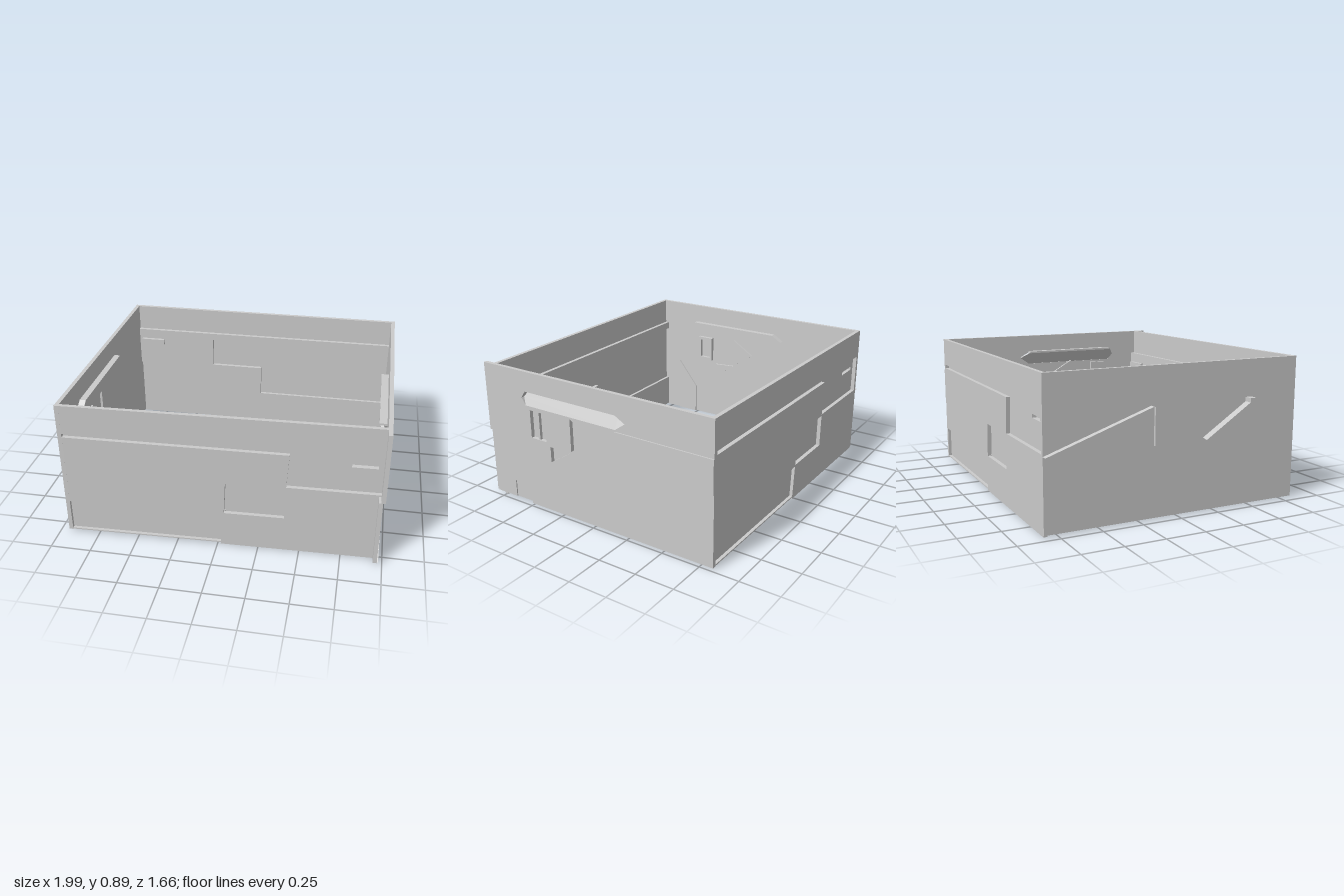
import * as THREE from 'three';

const material = new THREE.MeshStandardMaterial({ color: 0xcccccc, flatShading: true, side: THREE.DoubleSide });
const T = 0.025; // sheet thickness

const rect = (x0, y0, x1, y1) => [[x0, y0], [x1, y0], [x1, y1], [x0, y1]];
const vectors = (pts) => pts.map(([x, y]) => new THREE.Vector2(x, y));

// Flat plate in the x/y plane whose outer face lies at z = front
function plate(group, name, pts, front = 0, depth = T, holes = []) {
  const shape = new THREE.Shape(vectors(pts));
  shape.holes = holes.map((h) => new THREE.Path(vectors(h)));
  const geo = new THREE.ExtrudeGeometry(shape, { depth, bevelEnabled: false });
  geo.translate(0, 0, front - depth);
  const mesh = new THREE.Mesh(geo, material);
  mesh.name = name;
  group.add(mesh);
  return mesh;
}

// Lean a plate inwards with height
function lean(mesh, yStart, slope) {
  const p = mesh.geometry.attributes.position;
  for (let i = 0; i < p.count; i++) p.setZ(i, p.getZ(i) - (p.getY(i) - yStart) * slope);
  mesh.geometry.computeVertexNormals();
}

// Long wall with two raised panels and a recessed stair between them
function steppedWall(name, half) {
  const g = new THREE.Group();
  g.name = name;
  plate(g, 'topBand', rect(-half, 0.71, half, 0.895));
  plate(g, 'recessedRail', rect(-half, 0.67, half, 0.72), -T);
  plate(g, 'upperPanel', [
    [-half, 0.23], [0.02, 0.23], [0.03, 0.45], [0.39, 0.45], [0.405, 0.68], [-half, 0.685],
  ]);
  plate(g, 'lowerPanel', [
    [0, 0.008], [half, 0.005], [half, 0.46], [0.39, 0.46], [0.385, 0.24], [0.02, 0.24],
  ]);
  // recessed steps
  plate(g, 'lowStep', rect(-half, 0.02, 0.03, 0.25), -0.02);
  plate(g, 'bottomLip', rect(-half, 0.018, 0.01, 0.026), 0, T);
  plate(g, 'middleStep', rect(0, 0.225, 0.41, 0.465), -T);
  const slot = rect(0.76, 0.62, 0.91, 0.642);
  plate(g, 'highStep', rect(0.37, 0.445, half, 0.68), -T, T, [slot]);
  // slot housing on the inside
  plate(g, 'slotHousing', rect(0.75, 0.612, 0.92, 0.65), -0.055, 0.018);
  for (const [y0, y1] of [[0.612, 0.62], [0.642, 0.65]])
    plate(g, 'slotRim', rect(0.75, y0, 0.92, y1), -0.045, 0.02);
  return g;
}

// Right side wall (local x runs towards the back)
function pocketWall() {
  const g = new THREE.Group();
  g.name = 'rightWall';
  const corner = [[-0.83, 0.02], [-0.505, 0.02], [-0.505, 0.23], [-0.67, 0.45], [-0.83, 0.45]];
  const lowTriangle = [[-0.32, 0.35], [-0.16, 0.45], [-0.32, 0.45]];
  const highTriangle = [[-0.155, 0.46], [0, 0.575], [-0.155, 0.67]];
  const bar = [[-0.53, 0.725], [-0.5, 0.68], [0.18, 0.68], [0.25, 0.73], [0.18, 0.768], [-0.5, 0.768]];
  const vent = rect(-0.47, 0.475, -0.35, 0.655);
  // sheet outline leaves the front corner free for its recessed panel
  plate(g, 'sideSheet', [
    [-0.83, 0.45], [-0.67, 0.45], [-0.505, 0.23], [-0.505, 0.015],
    [0.83, 0.015], [0.83, 0.895], [-0.83, 0.895],
  ], 0, T, [lowTriangle, highTriangle, bar, vent]);
  // recessed corner panel with a small fin
  plate(g, 'cornerPanel', corner, -0.015);
  plate(g, 'cornerFin', [[-0.82, 0.02], [-0.65, 0.02], [-0.65, 0.13]], -0.008, 0.01);
  // pockets behind the openings
  plate(g, 'lowPocket', [[-0.34, 0.33], [-0.13, 0.46], [-0.34, 0.46]], -T, 0.015);
  plate(g, 'highPocket', [[-0.17, 0.44], [0.03, 0.575], [-0.17, 0.69]], -T, 0.015);
  lean(plate(g, 'barPocket', bar, 0, 0.02), 0.68, 0.5);
  plate(g, 'barShelf', rect(-0.49, 0.765, 0.18, 0.778), -0.005, 0.066);
  plate(g, 'ventPocket', rect(-0.48, 0.465, -0.34, 0.665), -T, 0.02);
  plate(g, 'ventDivider', rect(-0.416, 0.475, -0.404, 0.655), -0.006, 0.02);
  // raised rear panel
  plate(g, 'rearPanel', rect(0.18, 0.46, 0.83, 0.67), 0.008, 0.02);
  return g;
}

// Left side wall with truss-like blocks (local x runs towards the front)
function trussWall() {
  const g = new THREE.Group();
  g.name = 'leftWall';
  plate(g, 'sideSheet', rect(-0.83, 0.015, 0.825, 0.895), 0, T);
  plate(g, 'rearRamp', [[-0.83, 0.45], [-0.18, 0.45], [-0.18, 0.67]], 0.035, 0.04);
  plate(g, 'middleTriangle', [[-0.18, 0.45], [0.16, 0.45], [-0.18, 0.67]], 0.05, 0.055);
  plate(g, 'frontTriangle', [[0.16, 0.45], [0.5, 0.45], [0.5, 0.67]], 0.05, 0.055);
  plate(g, 'frontPost', rect(0.46, 0.45, 0.5, 0.67), 0.05, 0.055);
  // inner rail with pointed ends, vent frame and gusset
  plate(g, 'innerRail', [
    [-0.25, 0.725], [-0.18, 0.69], [0.5, 0.69], [0.56, 0.725], [0.5, 0.768], [-0.18, 0.768],
  ], -0.02, 0.045);
  plate(g, 'innerVent', rect(0.35, 0.475, 0.47, 0.655), -0.02, 0.03, [rect(0.37, 0.495, 0.45, 0.635)]);
  plate(g, 'innerGusset', [[0, 0.57], [0.32, 0.35], [0.32, 0.45], [0.16, 0.46], [0.16, 0.67]], -0.02, 0.02);
  plate(g, 'innerCorner', [
    [0.505, 0.015], [0.66, 0.015], [0.66, 0.42], [0.505, 0.23],
  ], -0.02, 0.015);
  return g;
}

export function createModel() {
  const model = new THREE.Group();
  model.name = 'enclosure';

  // front wall runs at a slight slant
  const front = steppedWall('frontWall', 0.95);
  front.position.set(0.02, 0, 0.795);
  front.rotation.y = Math.atan(0.06 / 1.9);

  const back = steppedWall('backWall', 0.96);
  back.position.set(0.02, 0, -0.83);
  back.rotation.y = Math.PI;

  const right = pocketWall();
  right.position.x = 0.985;
  right.rotation.y = Math.PI / 2;

  const left = trussWall();
  left.position.x = -0.948;
  left.rotation.y = -Math.PI / 2;

  model.add(front, back, right, left);
  return model;
}
